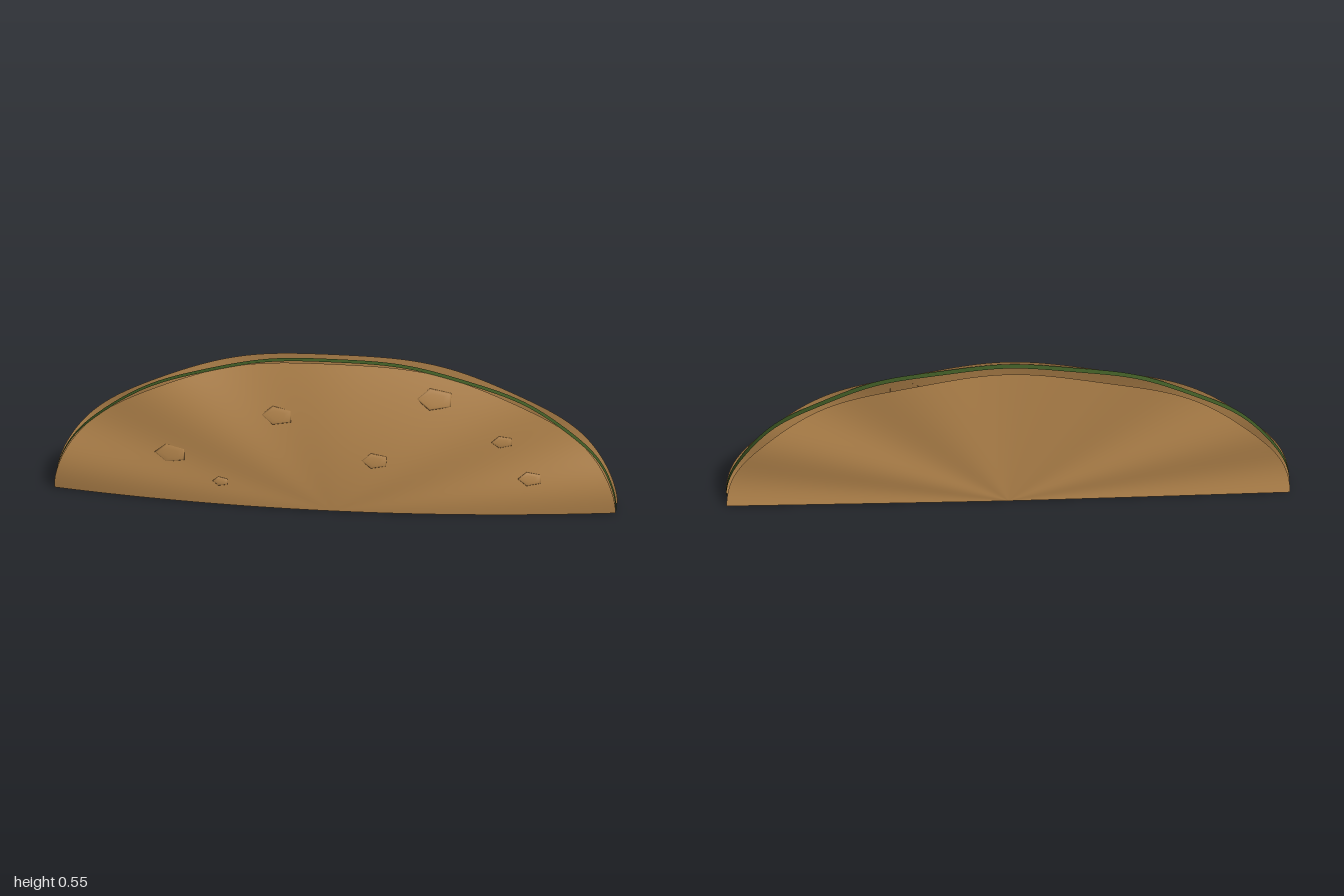
import * as THREE from 'three';

const HEIGHT = 0.55;

const shellMat = new THREE.MeshStandardMaterial({ color: 0xb4854c, side: THREE.DoubleSide });
shellMat.name = 'toastedBrown';
const leafMat = new THREE.MeshStandardMaterial({ color: 0x3d5723, side: THREE.DoubleSide });
leafMat.name = 'leafGreen';

// Bends a grid by a rule: point(u, v) gives the position, u and v run 0..1
function sheet(name, material, nu, nv, point) {
  const geo = new THREE.PlaneGeometry(1, 1, nu, nv);
  const pos = geo.attributes.position;
  for (let i = 0; i < pos.count; i++) {
    pos.setXYZ(i, ...point(pos.getX(i) + 0.5, pos.getY(i) + 0.5));
  }
  geo.computeVertexNormals();
  const mesh = new THREE.Mesh(geo, material);
  mesh.name = name;
  return mesh;
}

// Half-ellipse in polar form
const onEllipse = (angle, r, z) => [r * Math.cos(angle), r * HEIGHT * Math.sin(angle), z];

// Depth of each shell: radial ripples growing toward the rim
const frontDepth = (a, r) => 0.083 * (1 - r * r) + 0.01 * r * r * Math.sin(9 * a);
const backDepth = (a, r) => -0.083 + 0.01 * Math.pow(r, 1.3) * (1 + Math.sin(9 * a));

// Depth of the front shell at a given x, y
const frontAt = (x, y) => frontDepth(Math.atan2(y / HEIGHT, x), Math.hypot(x, y / HEIGHT));

export function createModel() {
  const model = new THREE.Group();
  model.name = 'foldedShell';

  // Domed front shell
  model.add(sheet('frontShell', shellMat, 144, 24, (u, v) => {
    const a = Math.PI * (1 - u);
    return onEllipse(a, v, frontDepth(a, v));
  }));

  // Nearly flat back shell
  model.add(sheet('backShell', shellMat, 144, 24, (u, v) => {
    const a = Math.PI * u;
    return onEllipse(a, v, backDepth(a, v));
  }));

  // Wavy leaf ribbon following the rim
  model.add(sheet('leafFrill', leafMat, 180, 1, (u, v) => {
    const a = Math.PI * (1 - u);
    return onEllipse(a, 1, -0.021 + 0.005 * Math.sin(13 * a) + 0.0125 * (1 - 2 * v));
  }));

  // Low angular blisters lying on the front shell: x, y, radius
  const blisters = [
    [-0.2, 0.35, 0.06], [0.36, 0.43, 0.07], [-0.58, 0.18, 0.06], [0.7, 0.14, 0.045],
    [0.6, 0.28, 0.04], [0.15, 0.2, 0.05], [-0.4, 0.09, 0.03],
  ];
  const bump = new THREE.SphereGeometry(1, 5, 3, 0, Math.PI * 2, 0, Math.PI / 2).rotateX(Math.PI / 2);
  const e = 0.02;
  for (const [x, y, r] of blisters) {
    const mesh = new THREE.Mesh(bump, shellMat);
    mesh.name = 'blister';
    mesh.position.set(x, y, frontAt(x, y));
    const normal = new THREE.Vector3(
      (frontAt(x - e, y) - frontAt(x + e, y)) / (2 * e),
      (frontAt(x, y - e) - frontAt(x, y + e)) / (2 * e), 1).normalize();
    mesh.quaternion.setFromUnitVectors(new THREE.Vector3(0, 0, 1), normal);
    mesh.scale.set(r, r * 0.6, 0.004);
    model.add(mesh);
  }

  return model;
}
